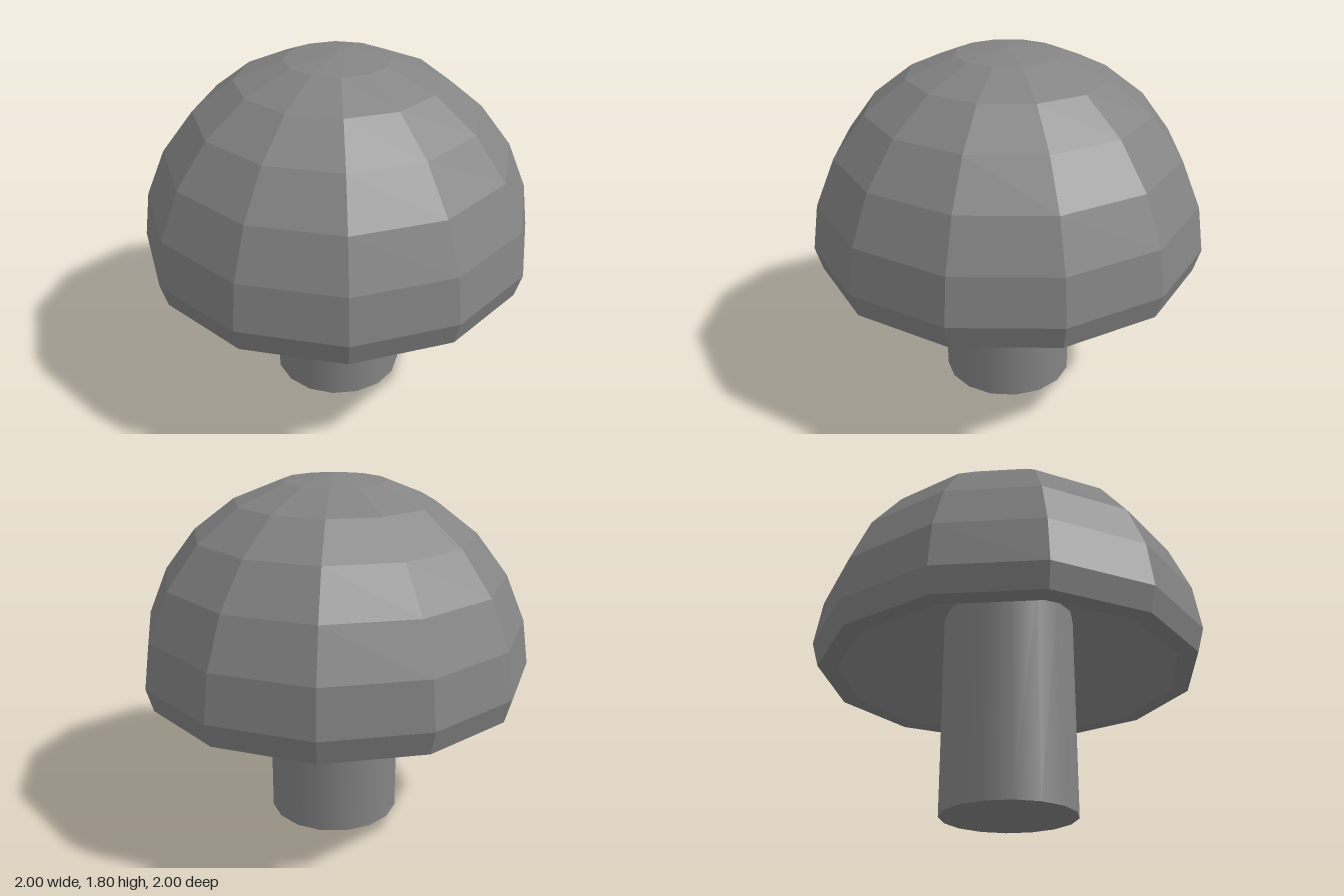
import * as THREE from 'three';

const COLOR = 0x848484;

export function createModel() {
  const group = new THREE.Group();

  // Cap: hollow underside, flat rim, then faceted dome up to the crown
  const profile = [
    [0, 1.26], [0.87, 0.72], [0.966, 0.72], [1, 0.84], [0.966, 1.07], [0.866, 1.307],
    [0.707, 1.515], [0.5, 1.673], [0.259, 1.77], [0, 1.805],
  ].map(([r, y]) => new THREE.Vector2(r, y));
  const cap = new THREE.Mesh(
    new THREE.LatheGeometry(profile, 12),
    new THREE.MeshStandardMaterial({ color: COLOR, flatShading: true })
  );
  cap.name = 'cap';
  group.add(cap);

  // Stem: smooth-shaded column running up into the hollow of the cap
  const stemHeight = 1.08;
  const stem = new THREE.Mesh(
    new THREE.CylinderGeometry(0.34, 0.34, stemHeight, 16),
    new THREE.MeshStandardMaterial({ color: COLOR })
  );
  stem.position.y = stemHeight / 2;
  stem.name = 'stem';
  group.add(stem);

  return group;
}
